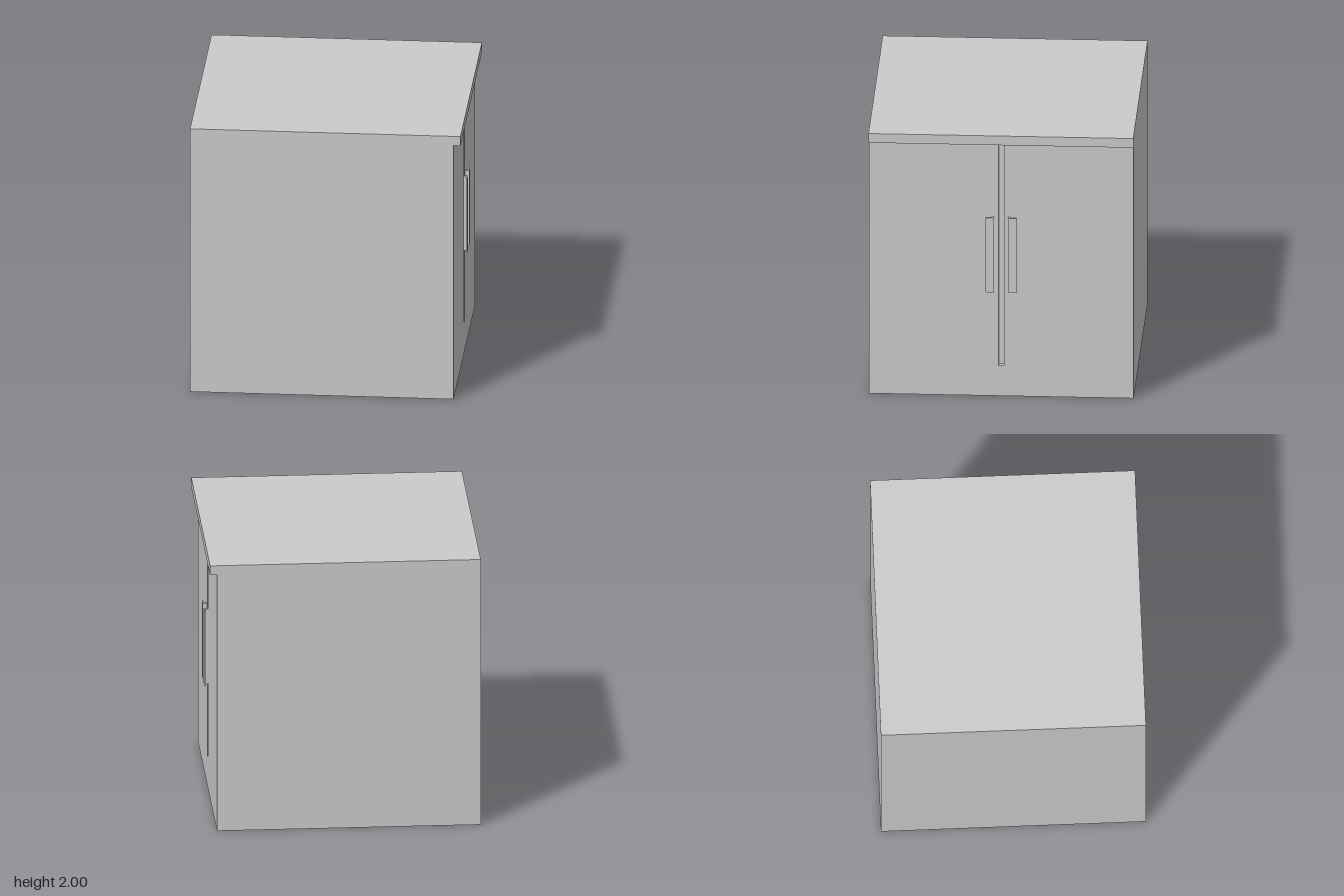
import * as THREE from 'three';

const material = new THREE.MeshStandardMaterial({ color: 0xcccccc, flatShading: true });

// Extents of the cabinet
const BACK = -0.965, FACE = 0.915, LIP = 0.965, HALF = 0.943;
const TOP = 2, UNDER_TOP = 1.93, GAP_BOTTOM = 0.23, GAP_HALF = 0.018;
const GAP_DEPTH = 0.04;

// Box given by its minimum and maximum corners
function box(name, [x0, y0, z0], [x1, y1, z1]) {
  const geometry = new THREE.BoxGeometry(x1 - x0, y1 - y0, z1 - z0);
  geometry.translate((x0 + x1) / 2, (y0 + y1) / 2, (z0 + z1) / 2);
  const mesh = new THREE.Mesh(geometry, material);
  mesh.name = name;
  return mesh;
}

// Front panel with the slot between the two doors cut down from its upper edge
function doorPanel() {
  const shape = new THREE.Shape([
    [-HALF, 0], [HALF, 0], [HALF, UNDER_TOP], [GAP_HALF, UNDER_TOP],
    [GAP_HALF, GAP_BOTTOM], [-GAP_HALF, GAP_BOTTOM], [-GAP_HALF, UNDER_TOP], [-HALF, UNDER_TOP],
  ].map(([z, y]) => new THREE.Vector2(z, y)));
  const geometry = new THREE.ExtrudeGeometry(shape, { depth: GAP_DEPTH, bevelEnabled: false });
  geometry.rotateY(Math.PI / 2).translate(FACE - GAP_DEPTH, 0, 0);
  const mesh = new THREE.Mesh(geometry, material);
  mesh.name = 'doors';
  return mesh;
}

// L-section pull: a stem next to the gap, with a grip plate reaching outwards
function handle(name, side) {
  const section = [
    [FACE, 0.05], [0.947, 0.05], [0.947, 0.109], [0.936, 0.109], [0.936, 0.066], [FACE, 0.066],
  ];
  const shape = new THREE.Shape(section.map(([x, z]) => new THREE.Vector2(x, -side * z)));
  const geometry = new THREE.ExtrudeGeometry(shape, { depth: 0.565, bevelEnabled: false });
  geometry.rotateX(-Math.PI / 2).translate(0, 0.8, 0);
  const mesh = new THREE.Mesh(geometry, material);
  mesh.name = name;
  return mesh;
}

export function createModel() {
  const cabinet = new THREE.Group();
  cabinet.name = 'cabinet';
  cabinet.add(
    box('carcass', [BACK, 0, -HALF], [FACE - GAP_DEPTH, UNDER_TOP, HALF]),
    doorPanel(),
    box('worktop', [BACK, UNDER_TOP, -HALF], [LIP, TOP, HALF]),
    handle('leftDoorHandle', -1),
    handle('rightDoorHandle', 1),
  );
  return cabinet;
}
